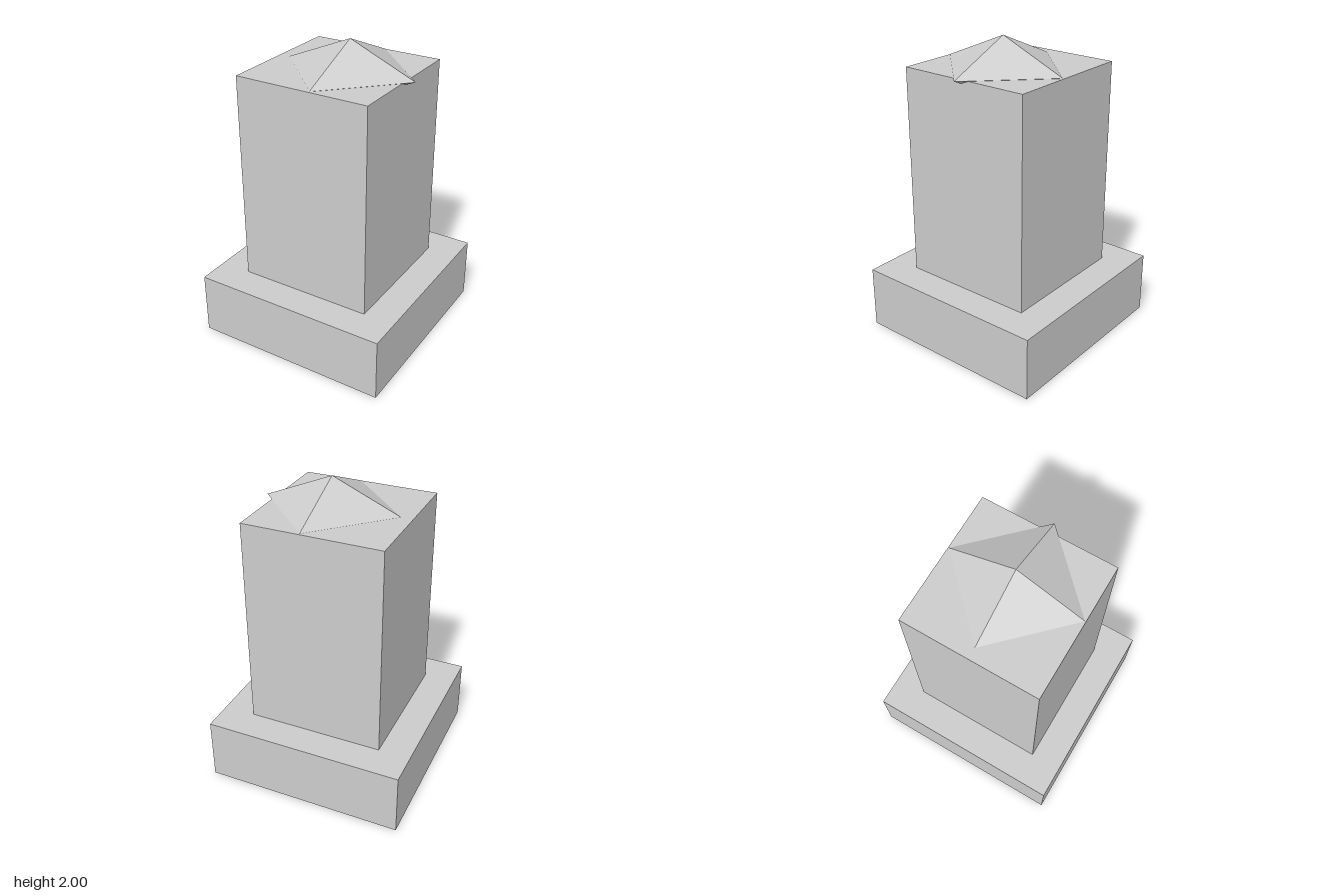
import * as THREE from 'three';

export function createModel() {
  const model = new THREE.Group();
  const stone = new THREE.MeshStandardMaterial({ color: 0xcccccc });
  stone.name = 'greyStone';

  const add = (name, geometry, x, y) => {
    const mesh = new THREE.Mesh(geometry, stone);
    mesh.name = name;
    mesh.position.set(x, y, 0);
    model.add(mesh);
  };

  // Square plinth
  const baseHeight = 0.418;
  add('base', new THREE.BoxGeometry(1.316, baseHeight, 1.316), 0, baseHeight / 2);

  // Square pillar standing on the plinth
  const shaftTop = 1.807;
  const shaftHeight = shaftTop - baseHeight;
  add('shaft', new THREE.BoxGeometry(0.9, shaftHeight, 0.9), 0, baseHeight + shaftHeight / 2);

  // Flattened octahedron half sunk into the pillar, set off-centre so one corner overhangs
  const cap = new THREE.OctahedronGeometry(0.444, 0);
  const capHalfHeight = 0.19;
  cap.scale(1, capHalfHeight / 0.444, 1);
  add('cap', cap, 0.067, 2 - capHalfHeight);

  return model;
}
